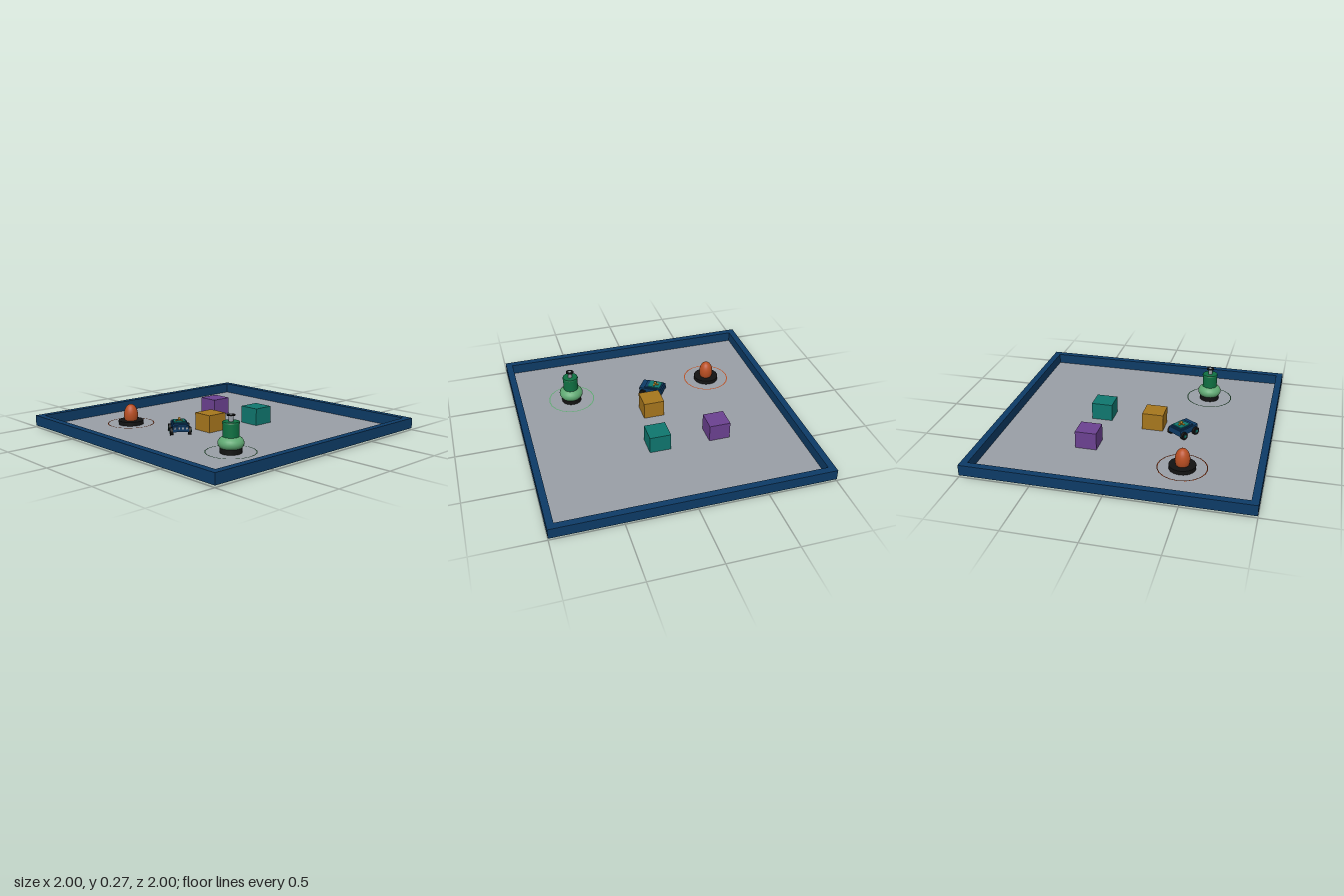
import * as THREE from 'three';

const mat = (name, color) => {
  const m = new THREE.MeshStandardMaterial({ color });
  m.name = name;
  return m;
};

export function createModel() {
  const blue = mat('navy blue', 0x0d3b66);
  const grey = mat('floor grey', 0x999ea6);
  const orange = mat('burnt orange', 0xb84e22);
  const purple = mat('purple', 0x6b4190);
  const teal = mat('teal', 0x0f766e);
  const amber = mat('amber', 0xa6761d);
  const green = mat('dark green', 0x0f7042);
  const lightGreen = mat('light green', 0x5fa872);
  const black = mat('black', 0x121212);
  grey.side = orange.side = lightGreen.side = THREE.DoubleSide;

  const model = new THREE.Group();
  model.name = 'arena';
  const BASE = 0.013;

  const add = (parent, name, geometry, material, x = 0, y = 0, z = 0) => {
    const mesh = new THREE.Mesh(geometry, material);
    mesh.name = name;
    mesh.position.set(x, y, z);
    parent.add(mesh);
    return mesh;
  };
  const box = (w, h, d) => new THREE.BoxGeometry(w, h, d);
  const cyl = (rTop, rBottom, h, n = 24) => new THREE.CylinderGeometry(rTop, rBottom, h, n);
  const group = (name, x, z) => {
    const g = new THREE.Group();
    g.name = name;
    g.position.set(x, 0, z);
    model.add(g);
    return g;
  };

  // Floor and surrounding walls
  add(model, 'floor', new THREE.PlaneGeometry(1.98, 1.98).rotateX(-Math.PI / 2), grey, 0, BASE - 0.001, 0);
  for (const s of [-1, 1]) {
    add(model, 'sideWall', box(0.05, 0.077, 2), blue, s * 0.975, BASE + 0.0385, 0);
    add(model, 'endWall', box(1.9, 0.077, 0.05), blue, 0, BASE + 0.0385, s * 0.975);
  }

  // Obstacle blocks
  for (const [name, m, x, z] of [
    ['purpleBlock', purple, -0.382, -0.275],
    ['tealBlock', teal, 0.073, -0.285],
    ['amberBlock', amber, 0, 0.125],
  ]) add(model, name, box(0.157, 0.128, 0.157), m, x, BASE + 0.064, z);

  // Flat marker ring on the floor
  const markerRing = (parent, material) =>
    add(parent, 'markerRing', new THREE.RingGeometry(0.17, 0.178, 20).rotateX(-Math.PI / 2), material, 0, 0.018, 0);

  // Egg-shaped beacon on a black disc
  const beacon = group('beacon', -0.553, 0.441);
  markerRing(beacon, orange);
  add(beacon, 'beaconBase', cyl(0.095, 0.095, 0.03), black, 0, BASE + 0.015, 0);
  add(beacon, 'beaconEgg', new THREE.SphereGeometry(0.053, 24, 16).scale(1, 0.083 / 0.053, 1), orange, 0, 0.083, 0);

  // Tower: base, dome, drum, post and cap
  const tower = group('tower', 0.56, 0.45);
  markerRing(tower, lightGreen);
  add(tower, 'towerBase', cyl(0.075, 0.075, 0.04), black, 0, BASE + 0.02, 0);
  add(tower, 'towerDome', new THREE.SphereGeometry(0.09, 24, 16).scale(1, 0.62, 1), lightGreen, 0, 0.08, 0);
  add(tower, 'towerDrum', cyl(0.056, 0.056, 0.1), green, 0, 0.165, 0);
  add(tower, 'towerRim', cyl(0.056, 0.06, 0.01), green, 0, 0.22, 0);
  add(tower, 'towerPost', cyl(0.016, 0.016, 0.042, 16), grey, 0, 0.245, 0);
  add(tower, 'towerCap', cyl(0.029, 0.029, 0.006), black, 0, 0.268, 0);
  add(tower, 'towerTip', cyl(0.012, 0.012, 0.002, 16), grey, 0, 0.272, 0);

  // Small rover, local +x is its front
  const rover = group('rover', -0.076, 0.357);
  rover.rotation.y = -0.59;
  add(rover, 'body', box(0.18, 0.045, 0.118), blue, 0, 0.063, 0);
  add(rover, 'cabin', box(0.13, 0.01, 0.1), blue, -0.015, 0.09, 0);
  add(rover, 'deck', box(0.095, 0.006, 0.085), teal, -0.022, 0.098, 0);
  add(rover, 'deckBar', box(0.014, 0.004, 0.055), amber, -0.018, 0.103, 0);
  add(rover, 'deckStem', box(0.03, 0.004, 0.014), amber, -0.034, 0.103, 0);
  add(rover, 'sensorMast', cyl(0.004, 0.004, 0.015, 8), black, -0.022, 0.107, 0);
  add(rover, 'sensorBall', new THREE.SphereGeometry(0.011, 12, 8), amber, -0.022, 0.115, 0);
  for (const sx of [-1, 1]) for (const sz of [-1, 1]) {
    const wheel = cyl(0.029, 0.029, 0.022, 16).rotateX(Math.PI / 2);
    add(rover, 'wheel', wheel, black, sx * 0.06, 0.042, sz * 0.066);
    const hub = cyl(0.012, 0.012, 0.004, 12).rotateX(Math.PI / 2);
    add(rover, 'hub', hub, teal, sx * 0.06, 0.042, sz * 0.078);
  }
  // Row of front sensors
  for (let i = 0; i < 4; i++)
    add(rover, 'frontSensor', box(0.008, 0.014, 0.012), grey, 0.092, 0.068, -0.042 + i * 0.028);

  return model;
}
